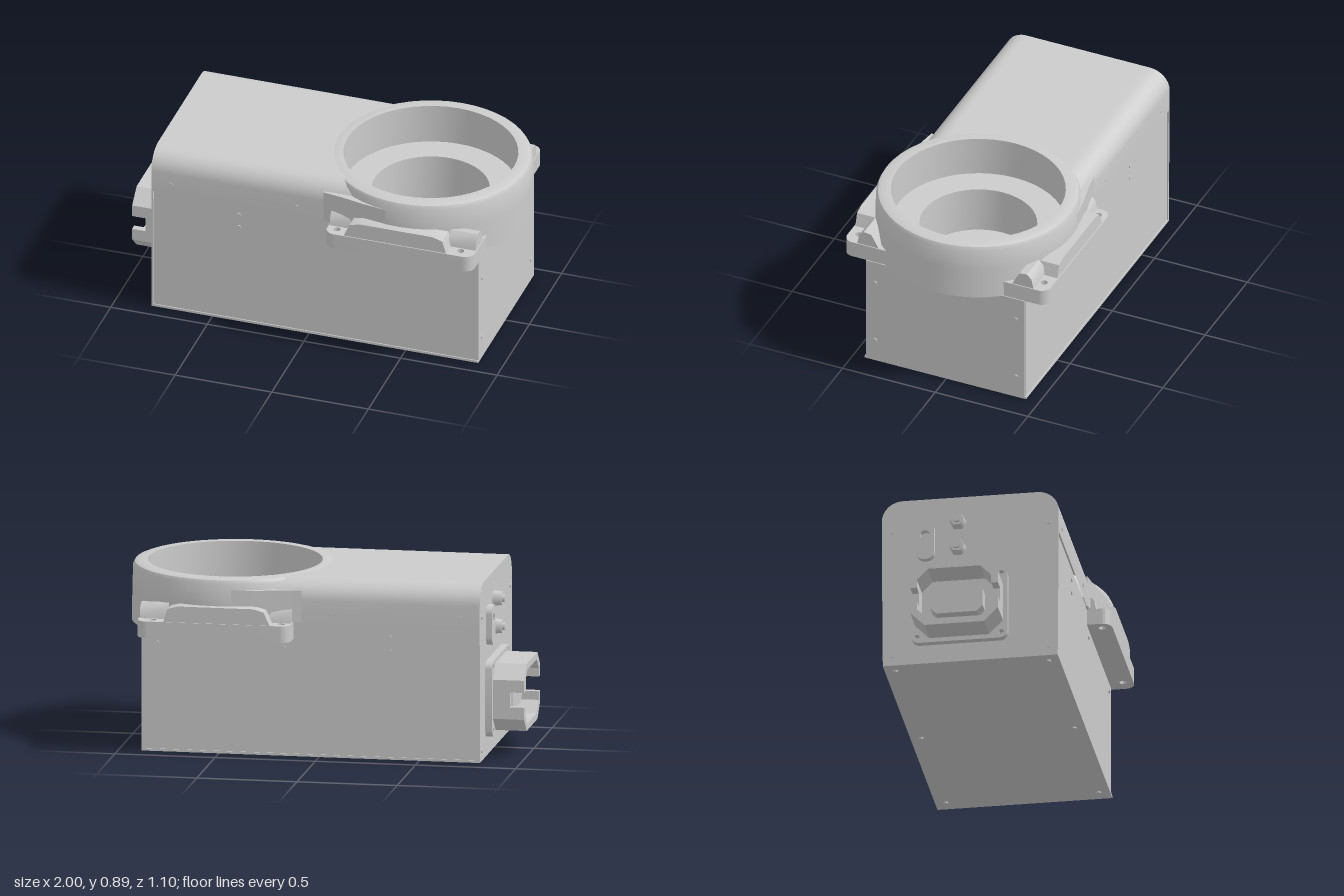
import * as THREE from 'three';
import { toCreasedNormals } from 'three/addons/utils/BufferGeometryUtils.js';

const grey = new THREE.MeshStandardMaterial({ color: 0xcccccc, side: THREE.DoubleSide });
const CX = 0.49; // centre of the round opening along x

export function createModel() {
  const model = new THREE.Group();

  const add = (name, geo, x = 0, y = 0, z = 0, parent = model) => {
    const mesh = new THREE.Mesh(geo, grey);
    mesh.name = name;
    mesh.position.set(x, y, z);
    parent.add(mesh);
    return mesh;
  };
  const box = (name, x0, x1, y0, y1, z0, z1) =>
    add(name, new THREE.BoxGeometry(x1 - x0, y1 - y0, z1 - z0), (x0 + x1) / 2, (y0 + y1) / 2, (z0 + z1) / 2);
  const poly = (pts) => new THREE.Shape(pts.map(([a, b]) => new THREE.Vector2(a, b)));
  const circle = (x, y, r) => new THREE.Path().absarc(x, y, r, 0, Math.PI * 2, true);
  const extrude = (shape, depth) =>
    toCreasedNormals(new THREE.ExtrudeGeometry(shape, { depth, bevelEnabled: false, curveSegments: 18 }), 0.6);
  // Shape in (x, z), thickness going down from the top
  const slab = (shape, depth) => extrude(shape, depth).rotateX(Math.PI / 2);
  // Shape in (z, y), thickness going towards -x
  const endPlate = (shape, depth) => extrude(shape, depth).rotateY(-Math.PI / 2);
  const roundRect = (x0, x1, y0, y1, r) => {
    const s = new THREE.Shape();
    s.absarc(x1 - r, y1 - r, r, 0, Math.PI / 2);
    s.absarc(x0 + r, y1 - r, r, Math.PI / 2, Math.PI);
    s.absarc(x0 + r, y0 + r, r, Math.PI, Math.PI * 1.5);
    s.absarc(x1 - r, y0 + r, r, Math.PI * 1.5, Math.PI * 2);
    return s;
  };

  // Housing: solid lower box and an upper part with the round bore
  box('lowerHousing', -0.8, 0.87, 0.02, 0.45, -0.43, 0.43);
  const upper = poly([[-0.8, -0.43], [0.87, -0.43], [0.87, 0.43], [-0.8, 0.43]]);
  upper.holes.push(circle(CX, 0, 0.295));
  add('upperHousing', slab(upper, 0.23), 0, 0.68, 0);
  box('basePlate', -0.81, 0.88, 0.008, 0.02, -0.435, 0.435);
  box('endPanel', 0.87, 0.88, 0.02, 0.59, -0.428, 0.428);

  // Top cover: rounded profile swept along x and cut to meet the ring
  const R = 0.105, side = [[0.44, 0.675]];
  for (let i = 0; i <= 8; i++) {
    const a = (i / 8) * Math.PI / 2;
    side.push([0.44 - R + R * Math.cos(a), 0.895 - R + R * Math.sin(a)]);
  }
  const profile = [...side];
  for (let i = 1; i < 24; i++) profile.push([0.335 * (1 - i / 12), 0.895]);
  profile.push(...side.map(([z, y]) => [-z, y]).reverse());
  const verts = [];
  const cut = (z) => CX - Math.sqrt(0.475 ** 2 - z * z);
  for (let i = 0; i < profile.length - 1; i++) {
    const [z0, y0] = profile[i], [z1, y1] = profile[i + 1];
    const a = [-0.81, y0, z0], b = [cut(z0), y0, z0], c = [cut(z1), y1, z1], d = [-0.81, y1, z1];
    verts.push(...a, ...b, ...c, ...a, ...c, ...d);
  }
  const cover = new THREE.BufferGeometry();
  cover.setAttribute('position', new THREE.Float32BufferAttribute(verts, 3));
  add('topCover', toCreasedNormals(cover, 0.6));
  add('connectorPanel', endPlate(poly([[-0.435, 0.02], [0.435, 0.02], ...profile]), 0.01), -0.8, 0, 0);

  // Ring collar with recessed floor and bore
  const ring = [[0.29, 0.45], [0.29, 0.69], [0.43, 0.69], [0.43, 0.895], [0.475, 0.895], [0.493, 0.888],
    [0.502, 0.87], [0.506, 0.76], [0.508, 0.597], [0.29, 0.597]];
  add('ringCollar', toCreasedNormals(
    new THREE.LatheGeometry(ring.map(([r, y]) => new THREE.Vector2(r, y)), 48), 0.5), CX, 0, 0);

  // Mounting plate with four screw holes
  const plate = roundRect(0.12, 0.885, -0.55, 0.55, 0.05);
  plate.holes.push(circle(CX, 0, 0.3));
  for (const x of [0.17, 0.81]) for (const z of [-0.5, 0.5]) plate.holes.push(circle(x, z, 0.018));
  add('mountingPlate', slab(plate, 0.083), 0, 0.68, 0);

  for (const s of [1, -1]) {
    const tag = s > 0 ? 'front' : 'back';
    // Raised rail between the screw ears, with sloped ends
    const rail = poly([[0.22, 0.68], [0.25, 0.745], [0.3, 0.76], [0.68, 0.76], [0.73, 0.745], [0.75, 0.68]]);
    add(tag + 'Rail', extrude(rail, 0.1), 0, 0, s > 0 ? 0.445 : -0.545);
    // Gussets behind the ears
    for (const [x0, x1] of [[0.125, 0.24], [0.74, 0.88]]) {
      const web = poly([[0.36, 0.68], [0.475, 0.68], [0.465, 0.73], [0.44, 0.755], [0.4, 0.75]]
        .map(([z, y]) => [z * s, y]));
      add(tag + 'EarGusset', endPlate(web, x1 - x0), x1, 0, 0);
    }
    // Blend from cover side to ring
    const flare = poly([[0.08, 0.43], [0.25, 0.42], [0.42, 0.5], [0.3, 0.482], [0.18, 0.455], [0.08, 0.44]]
      .map(([x, z]) => [x, z * s]));
    add(tag + 'Flare', slab(flare, 0.16), 0, 0.84, 0);
  }

  // Panel connector: flange, open shell with side notches, inner block
  const connector = new THREE.Group();
  connector.name = 'connector';
  connector.position.set(0, 0.295, -0.05);
  model.add(connector);
  const octagon = (w, h, c) => [[w, c - h], [w, h - c], [w - c, h], [c - w, h], [-w, h - c], [-w, c - h],
    [c - w, -h], [w - c, -h]];
  const flange = roundRect(-0.24, 0.24, -0.19, 0.19, 0.04);
  for (const z of [-0.21, 0.21]) for (const y of [-0.16, 0.16]) flange.holes.push(circle(z, y, 0.014));
  add('connectorFlange', endPlate(flange, 0.035), -0.81, 0, 0, connector);
  const shell = poly(octagon(0.218, 0.168, 0.07));
  shell.holes.push(new THREE.Path(octagon(0.185, 0.135, 0.055).map((p) => new THREE.Vector2(...p))));
  add('connectorShell', endPlate(shell, 0.085), -0.845, 0, 0, connector);
  for (const s of [1, -1]) {
    const lip = poly([[0.218, 0.037], [0.218, 0.098], [0.148, 0.168], [-0.148, 0.168], [-0.218, 0.098],
      [-0.218, 0.037], [-0.185, 0.037], [-0.185, 0.08], [-0.13, 0.135], [0.13, 0.135], [0.185, 0.08],
      [0.185, 0.037]].map(([z, y]) => [z, y * s]));
    add('connectorLip', endPlate(lip, 0.07), -0.93, 0, 0, connector);
  }
  add('connectorInsert', endPlate(poly(octagon(0.13, 0.075, 0.03)), 0.08), -0.845, 0, 0, connector);

  // Small fittings above the connector
  for (const y of [0.62, 0.76]) {
    add('hexFitting', new THREE.CylinderGeometry(0.035, 0.042, 0.045, 6).rotateZ(Math.PI / 2), -0.832, y, -0.06);
    add('fittingStud', new THREE.CylinderGeometry(0.02, 0.02, 0.02, 12).rotateZ(Math.PI / 2), -0.858, y, -0.06);
  }
  const port = roundRect(-0.045, 0.045, -0.1, 0.1, 0.04);
  port.holes.push(circle(0, 0.03, 0.025));
  add('sidePort', endPlate(port, 0.03), -0.81, 0.66, -0.22);

  // Screw heads, standing slightly proud of each face
  const screw = (x, y, z, axis) => {
    const g = new THREE.CylinderGeometry(0.011, 0.011, 0.012, 8);
    if (axis === 'x') g.rotateZ(Math.PI / 2);
    if (axis === 'z') g.rotateX(Math.PI / 2);
    add('screw', g, x, y, z);
  };
  for (const s of [1, -1]) {
    for (const x of [-0.71, -0.06]) screw(x, 0.73, s * 0.438, 'z');
    for (const [x, y] of [[-0.36, 0.62], [-0.36, 0.55], [0.17, 0.55], [0.8, 0.55]]) screw(x, y, s * 0.43, 'z');
    for (const y of [0.13, 0.47]) screw(0.88, y, s * 0.38, 'x');
    for (const y of [0.06, 0.73]) screw(-0.81, y, s * 0.39, 'x');
    for (const x of [-0.75, 0.04, 0.8]) screw(x, 0.006, s * 0.38, 'y');
  }
  return model;
}
